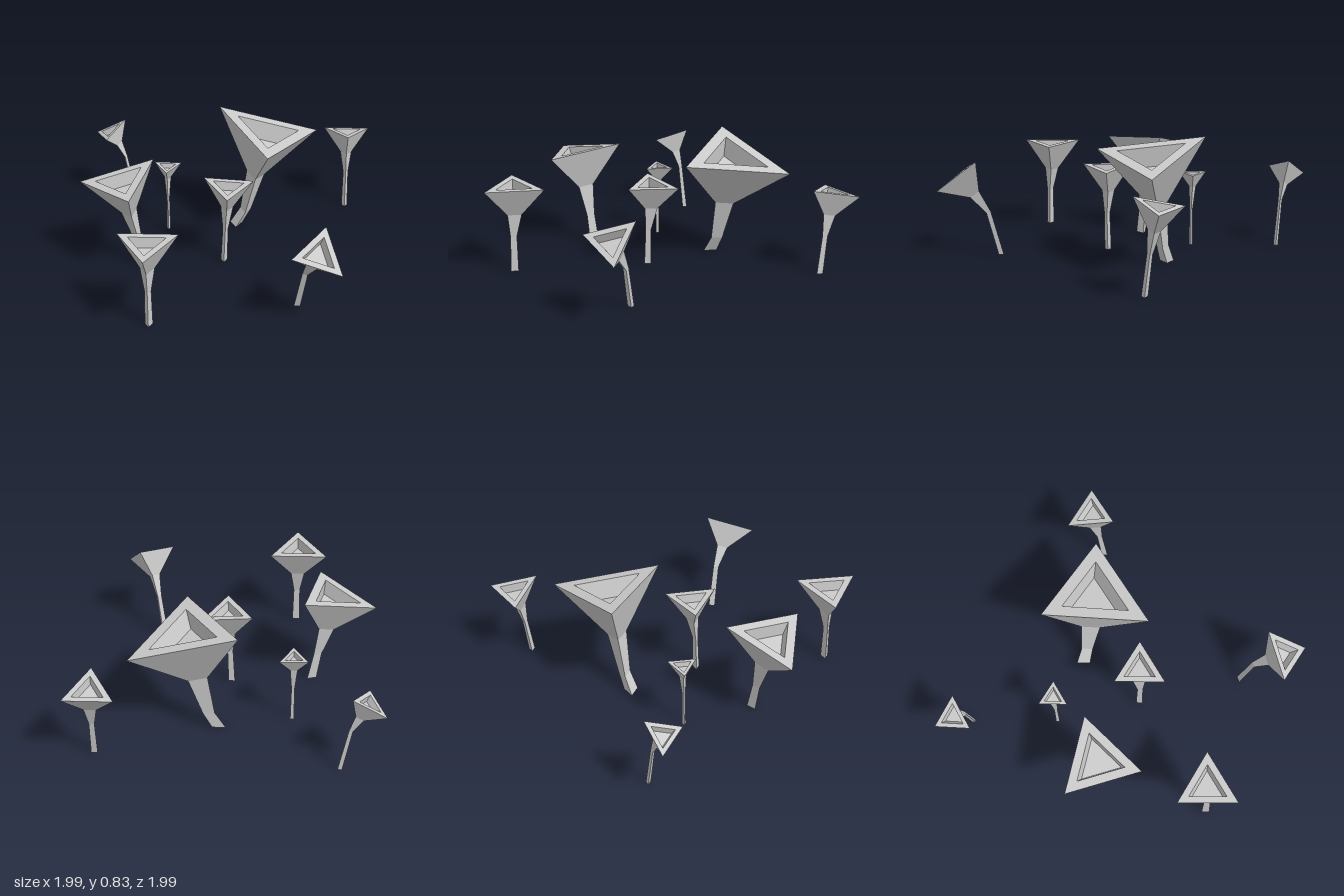
import * as THREE from 'three';

const material = new THREE.MeshStandardMaterial({ color: 0xcccccc, flatShading: true });
const UP = new THREE.Vector3(0, 1, 0);

// rim: centre of the cup's triangular rim, side: its edge length,
// lean: x and z of the rim's normal, yaw: turn in degrees,
// bend and foot: centres of the stem's knee and base
const plants = [
  { name: 'largeTrumpet', rim: [0.263, 0.743, -0.507], side: 0.708, lean: [0.24, 0], yaw: 0,
    bend: [0.11, 0.115, -0.507], foot: [0.045, -0.503], neckWidth: 0.18 },
  { name: 'leftTrumpet', rim: [-0.702, 0.658, 0.078], side: 0.513, lean: [-0.198, 0.051], yaw: 16,
    bend: [-0.605, 0.2, 0.055], foot: [-0.57, 0.05], neckWidth: 0.21 },
  { name: 'frontTrumpet', rim: [-0.476, 0.6, 0.764], side: 0.392, lean: [0, 0], yaw: 0,
    bend: [-0.475, 0.25, 0.777], foot: [-0.475, 0.777], neckWidth: 0.24 },
  { name: 'middleTrumpet', rim: [0.004, 0.575, -0.018], side: 0.336, lean: [0.06, 0], yaw: 0,
    bend: [-0.015, 0.25, -0.004], foot: [-0.025, -0.005], neckWidth: 0.25 },
  { name: 'leaningTrumpet', rim: [0.597, 0.544, 0.765], side: 0.34, lean: [0.275, 0.547], yaw: 53.6,
    bend: [0.515, 0.29, 0.59], foot: [0.473, 0.52], neckWidth: 0.22 },
  { name: 'backRightTrumpet', rim: [0.83, 0.563, -0.89], side: 0.32, lean: [0, -0.2], yaw: 0,
    bend: [0.832, 0.26, -0.83], foot: [0.832, -0.797], neckWidth: 0.25 },
  { name: 'tinyTrumpet', rim: [-0.434, 0.502, -0.427], side: 0.188, lean: [0.02, 0], yaw: 0,
    bend: [-0.435, 0.25, -0.42], foot: [-0.435, -0.42], neckWidth: 0.25 },
  { name: 'backLeftTrumpet', rim: [-0.892, 0.523, -0.918], side: 0.245, lean: [-0.473, 0.024], yaw: -4,
    bend: [-0.785, 0.31, -0.922], foot: [-0.73, -0.922], neckWidth: 0.24 },
];

// Joins triangular rings with flat faces and closes one end
function loft(name, rings, cap) {
  const pos = [];
  const face = (...pts) => pts.forEach((p) => pos.push(p.x, p.y, p.z));
  for (let i = 0; i < rings.length - 1; i++) {
    const lo = rings[i], hi = rings[i + 1];
    for (let j = 0; j < 3; j++) {
      const k = (j + 1) % 3;
      face(lo[j], lo[k], hi[k]);
      face(lo[j], hi[k], hi[j]);
    }
  }
  if (cap === 'start') face(...rings[0].slice().reverse());
  else face(...rings[rings.length - 1]);
  const geometry = new THREE.BufferGeometry();
  geometry.setAttribute('position', new THREE.Float32BufferAttribute(pos, 3));
  geometry.computeVertexNormals();
  const mesh = new THREE.Mesh(geometry, material);
  mesh.name = name;
  return mesh;
}

function makePlant({ name, rim, side, lean, yaw, bend, foot, neckWidth }) {
  const centre = new THREE.Vector3(...rim);
  const normal = new THREE.Vector3(lean[0], Math.sqrt(1 - lean[0] ** 2 - lean[1] ** 2), lean[1]);
  const tilt = new THREE.Quaternion().setFromUnitVectors(UP, normal);

  // An equilateral triangle parallel to the rim; rise 0 lays it level
  const ring = (at, width, rise = 1) => [0, 1, 2].map((i) => {
    const angle = THREE.MathUtils.degToRad(yaw + i * 120);
    const radius = (side * width) / Math.sqrt(3);
    const p = new THREE.Vector3(Math.sin(angle), 0, Math.cos(angle)).multiplyScalar(radius);
    p.applyQuaternion(tilt);
    p.y *= rise;
    return p.add(at);
  });
  const below = (distance) => centre.clone().addScaledVector(normal, -distance * side);

  const neck = ring(below(0.5), neckWidth);
  const knee = ring(new THREE.Vector3(...bend), 0.11, 0.5);
  const base = ring(new THREE.Vector3(foot[0], 0, foot[1]), 0.13, 0);

  const group = new THREE.Group();
  group.name = name;
  group.add(
    // bent stem, flat on the ground
    loft('stem', [base, knee, neck], 'start'),
    // flared cup with a flat lip and a sunken floor
    loft('cup', [neck, ring(centre, 1), ring(centre, 0.62), ring(below(0.18), 0.52)], 'end'),
  );
  return group;
}

export function createModel() {
  const model = new THREE.Group();
  model.name = 'trumpetPlants';
  plants.forEach((p) => model.add(makePlant(p)));
  return model;
}
